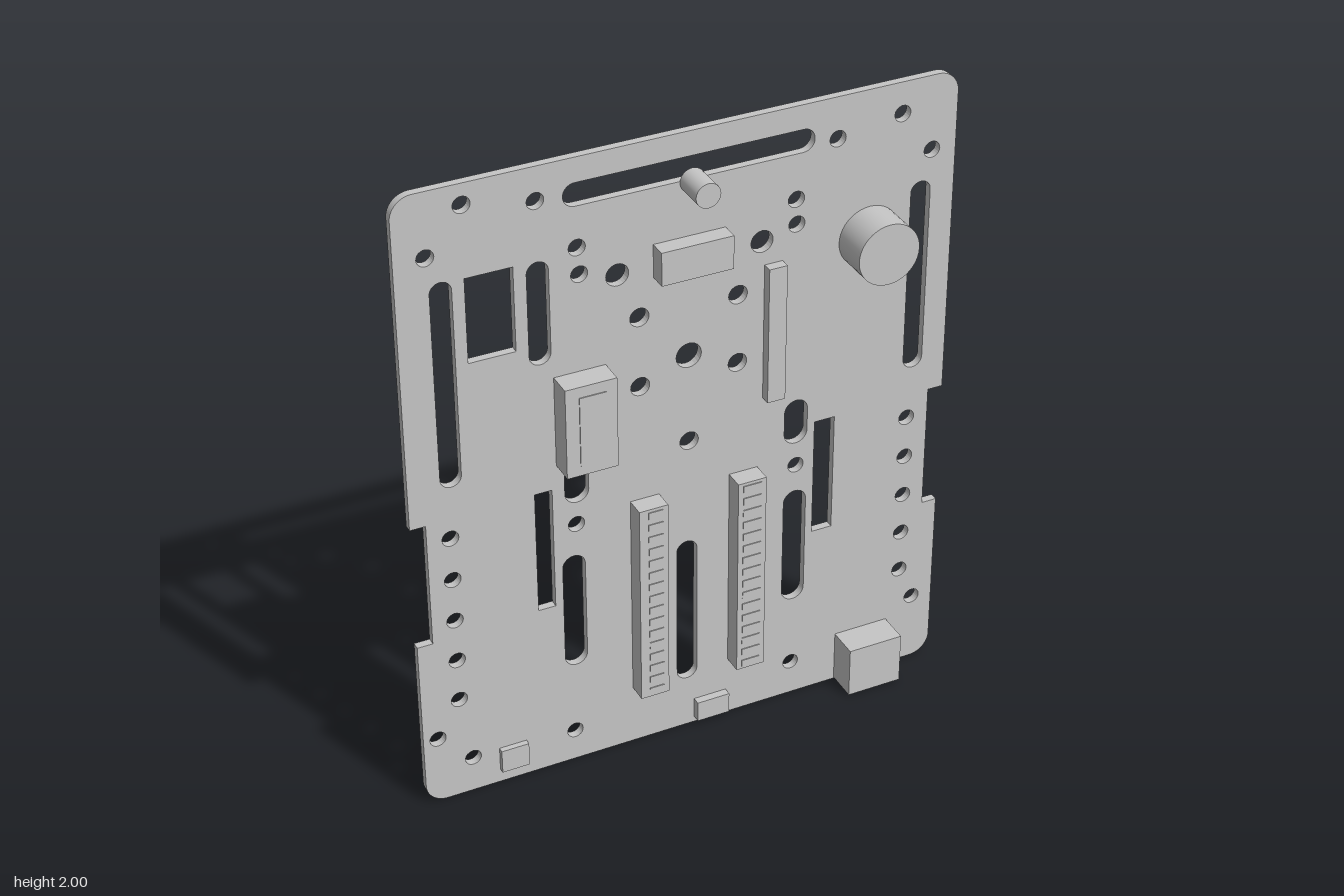
import * as THREE from 'three';

const BACK = -0.07, FACE = -0.045;

export function createModel() {
  const model = new THREE.Group();
  model.name = 'robotBasePlate';
  const grey = new THREE.MeshStandardMaterial({ color: 0xc6c6c6 });
  grey.name = 'light grey';

  const add = (name, geometry, x = 0, y = 0, z = 0) => {
    const mesh = new THREE.Mesh(geometry, grey);
    mesh.name = name;
    mesh.position.set(x, y, z);
    model.add(mesh);
  };
  // Box given by its extents, standing on the plate face by default
  const block = (name, x0, x1, y0, y1, z1, z0 = FACE) =>
    add(name, new THREE.BoxGeometry(x1 - x0, y1 - y0, z1 - z0), (x0 + x1) / 2, (y0 + y1) / 2, (z0 + z1) / 2);
  const post = (name, x, y, r, z1) => {
    const geometry = new THREE.CylinderGeometry(r, r, z1 - FACE, 40).rotateX(Math.PI / 2);
    add(name, geometry, x, y, (FACE + z1) / 2);
  };

  // Plate outline: rounded corners and a wheel notch on each side
  const W = 0.835, H = 2, R = 0.065, N = 0.788, N0 = 0.57, N1 = 0.973;
  const plate = new THREE.Shape();
  plate.moveTo(-W + R, 0);
  plate.lineTo(W - R, 0);
  plate.absarc(W - R, R, R, -Math.PI / 2, 0);
  plate.lineTo(W, N0);
  plate.lineTo(N, N0);
  plate.lineTo(N, N1);
  plate.lineTo(W, N1);
  plate.lineTo(W, H - R);
  plate.absarc(W - R, H - R, R, 0, Math.PI / 2);
  plate.lineTo(-W + R, H);
  plate.absarc(-W + R, H - R, R, Math.PI / 2, Math.PI);
  plate.lineTo(-W, N1);
  plate.lineTo(-N, N1);
  plate.lineTo(-N, N0);
  plate.lineTo(-W, N0);
  plate.lineTo(-W, R);
  plate.absarc(-W + R, R, R, Math.PI, Math.PI * 1.5);

  // Round holes
  const hole = (x, y, r = 0.025) => {
    const path = new THREE.Path();
    path.absarc(x, y, r, 0, Math.PI * 2, true);
    plate.holes.push(path);
  };
  [[-0.638, 1.937], [-0.745, 1.806], [-0.433, 1.898], [0.462, 1.872], [0.662, 1.903], [0.76, 1.77],
    [-0.318, 1.73], [-0.313, 1.647], [0.338, 1.715], [0.341, 1.637], [-0.34, 0.842], [0.354, 0.836],
    [-0.79, 0.226], [-0.685, 0.12], [-0.361, 0.106], [0.352, 0.117], [0.767, 0.229], [0.661, 0.125],
  ].forEach(([x, y]) => hole(x, y));
  for (let i = 0; i < 5; i++) {
    hole(-0.718, 0.91 - i * 0.141);
    hole(0.719, 0.895 - i * 0.1375);
  }
  [[-0.138, 1.466], [0.162, 1.459], [-0.138, 1.243], [0.162, 1.239], [0.012, 1.02]].forEach(([x, y]) => hole(x, y, 0.029));
  hole(-0.202, 1.616, 0.034);
  hole(0.234, 1.609, 0.034);
  hole(0.011, 1.304, 0.039);

  // Slots with round ends, upright or lying
  const slot = (x0, x1, y0, y1) => {
    const r = Math.min(x1 - x0, y1 - y0) / 2;
    const path = new THREE.Path();
    if (y1 - y0 > x1 - x0) {
      path.absarc(x0 + r, y1 - r, r, 0, Math.PI);
      path.absarc(x0 + r, y0 + r, r, Math.PI, Math.PI * 2);
    } else {
      path.absarc(x1 - r, y0 + r, r, -Math.PI / 2, Math.PI / 2);
      path.absarc(x0 + r, y0 + r, r, Math.PI / 2, Math.PI * 1.5);
    }
    path.closePath();
    plate.holes.push(path);
  };
  slot(-0.355, 0.391, 1.855, 1.925);
  slot(-0.739, -0.676, 1.079, 1.724);
  slot(0.699, 0.761, 1.067, 1.677);
  slot(-0.465, -0.401, 1.396, 1.715);
  slot(-0.373, -0.3, 0.916, 1.066);
  slot(0.315, 0.389, 0.913, 1.059);
  slot(-0.386, -0.316, 0.348, 0.735);
  slot(0.317, 0.39, 0.354, 0.745);
  slot(-0.028, 0.037, 0.175, 0.674);

  // Square windows
  const windowCut = (x0, x1, y0, y1) => plate.holes.push(new THREE.Path([
    new THREE.Vector2(x0, y0), new THREE.Vector2(x0, y1), new THREE.Vector2(x1, y1), new THREE.Vector2(x1, y0),
  ]));
  windowCut(-0.64, -0.502, 1.457, 1.718);
  windowCut(-0.464, -0.411, 0.579, 0.979);
  windowCut(0.413, 0.478, 0.581, 0.967);

  add('plate', new THREE.ExtrudeGeometry(plate, { depth: FACE - BACK, bevelEnabled: false, curveSegments: 12 }), 0, 0, BACK);

  // Round components
  post('smallPost', 0.022, 1.851, 0.037, 0.053);
  post('buzzer', 0.57, 1.542, 0.095, 0.072);

  // Box components
  block('topConnector', -0.095, 0.122, 1.58, 1.683, 0.008);
  block('pinStrip', 0.243, 0.299, 1.098, 1.533, -0.014);
  block('driverModule', -0.396, -0.241, 1.057, 1.344, 0.03);
  block('driverPad', -0.355, -0.275, 1.09, 1.31, 0.033, 0.03);
  block('leftSwitch', -0.603, -0.517, 0.046, 0.124, -0.027);
  block('centreSwitch', 0.028, 0.133, 0.019, 0.087, -0.02);
  block('powerSocket', 0.504, 0.679, 0.004, 0.17, 0.053);

  // Long headers with a row of raised contacts
  [['rightHeader', -0.173, -0.083, -0.145, -0.1], ['leftHeader', 0.139, 0.229, 0.155, 0.213]].forEach(([name, x0, x1, c0, c1]) => {
    block(name, x0, x1, 0.199, 0.867, 0.015);
    const count = 16, pitch = 0.668 / count;
    for (let i = 0; i < count; i++) {
      const y = 0.199 + (i + 0.5) * pitch;
      block(name + 'Contact', c0, c1, y - 0.011, y + 0.011, 0.018, 0.015);
    }
  });
  return model;
}
